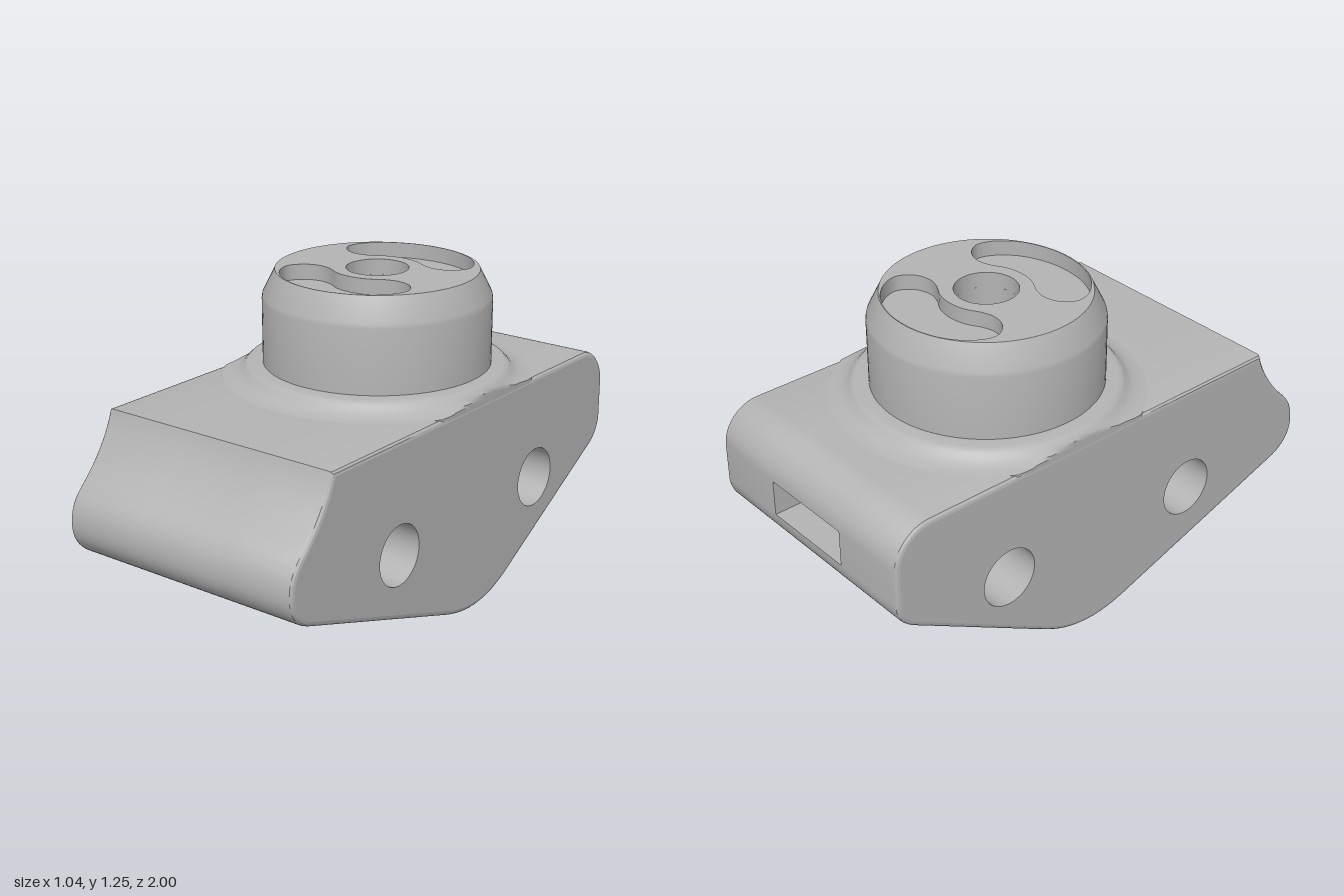
import * as THREE from 'three';
import { toCreasedNormals } from 'three/addons/utils/BufferGeometryUtils.js';

const CREASE = 0.42;
const BORES = [[-0.394, 0.397], [0.5, 0.414]]; // [-z, y] of the cross bores
const BORE_R = 0.118;
const SLOT = { half: 0.2, end: 0.58, low: 0.535, high: 0.68 };

// Side profile drawn as (-z, y), counter-clockwise, optionally notched by the rear slot
function profile(notched) {
  const s = new THREE.Shape();
  s.moveTo(-0.775, 0.835);
  s.bezierCurveTo(-0.80, 0.75, -0.86, 0.66, -0.945, 0.58);
  s.bezierCurveTo(-0.985, 0.54, -1, 0.50, -1, 0.45);
  s.bezierCurveTo(-1, 0.38, -0.955, 0.33, -0.885, 0.308);
  s.lineTo(-0.115, 0.046);
  s.bezierCurveTo(0.05, -0.015, 0.18, -0.015, 0.34, 0.08);
  s.lineTo(0.92, 0.413);
  s.bezierCurveTo(0.97, 0.44, 1, 0.485, 1, SLOT.low);
  if (notched) {
    s.lineTo(SLOT.end, SLOT.low);
    s.lineTo(SLOT.end, SLOT.high);
  }
  s.lineTo(1, SLOT.high);
  s.bezierCurveTo(1, 0.765, 0.93, 0.835, 0.845, 0.835);
  const pts = s.getPoints(12);
  return pts.filter((p, i) => i === 0 || p.distanceTo(pts[i - 1]) > 1e-4);
}

// Shrink a counter-clockwise outline by distance d
function inset(pts, d) {
  const n = pts.length;
  return pts.map((p, i) => {
    const a = p.clone().sub(pts[(i + n - 1) % n]).normalize();
    const b = pts[(i + 1) % n].clone().sub(p).normalize();
    const na = new THREE.Vector2(-a.y, a.x), nb = new THREE.Vector2(-b.y, b.x);
    const m = na.clone().add(nb).normalize();
    return p.clone().addScaledVector(m, d / Math.max(0.5, m.dot(na)));
  });
}

// Skin between matching closed outlines placed at increasing x
function loft(rings) {
  const n = rings[0].pts.length, pos = [], idx = [];
  rings.forEach(({ pts, x }) => pts.forEach(p => pos.push(p.x, p.y, x)));
  for (let r = 0; r < rings.length - 1; r++) {
    for (let i = 0; i < n; i++) {
      const j = (i + 1) % n, a = r * n + i, b = r * n + j;
      idx.push(a, b, b + n, a, b + n, a + n);
    }
  }
  const g = new THREE.BufferGeometry();
  g.setAttribute('position', new THREE.Float32BufferAttribute(pos, 3));
  g.setIndex(idx);
  return toCreasedNormals(g.rotateY(Math.PI / 2), CREASE);
}

function circlePath(x, y, r) {
  return new THREE.Path().absarc(x, y, r, 0, Math.PI * 2, true);
}

// Crescent recess with a wavy inner edge; dir picks the rear (+1) or front (-1) one
function recessPoints(dir) {
  const half = [[0, 0.386], [0.1, 0.373], [0.2, 0.328], [0.268, 0.255], [0.285, 0.19],
    [0.245, 0.133], [0.185, 0.114], [0.13, 0.126], [0.07, 0.158], [0, 0.17]];
  const other = half.slice(1, -1).reverse().map(([x, y]) => [-x, y]);
  const pts = [...half, ...other].map(([x, y]) => new THREE.Vector3(x, y * dir, 0));
  return new THREE.CatmullRomCurve3(pts, true).getPoints(90).slice(0, -1)
    .map(p => new THREE.Vector2(p.x, p.y));
}

export function createModel() {
  const model = new THREE.Group();
  model.name = 'mountBlock';
  const grey = new THREE.MeshStandardMaterial({ color: 0xb4b4b4, side: THREE.DoubleSide });
  grey.name = 'plainGrey';
  const add = (parent, name, geometry) => {
    const m = new THREE.Mesh(geometry, grey);
    m.name = name;
    parent.add(m);
    return m;
  };

  // Middle of the block, notched by the rear slot
  const notched = profile(true);
  add(model, 'blockMiddle', loft([{ pts: notched, x: -SLOT.half }, { pts: notched, x: SLOT.half }]));

  // Mirrored side sections with rounded outer edges, pierced by the bores
  const outline = profile(false), face = inset(outline, 0.02);
  for (const side of [1, -1]) {
    const g = new THREE.Group();
    g.name = side > 0 ? 'leftSide' : 'rightSide';
    g.scale.x = side;
    model.add(g);
    add(g, 'sideSkin', loft([
      { pts: outline, x: SLOT.half }, { pts: outline, x: 0.5 },
      { pts: inset(outline, 0.0027), x: 0.51 }, { pts: inset(outline, 0.01), x: 0.5173 },
      { pts: face, x: 0.52 },
    ]));
    const cap = new THREE.Shape(face);
    BORES.forEach(([x, y]) => cap.holes.push(circlePath(x, y, BORE_R)));
    add(g, 'sideFace', new THREE.ShapeGeometry(cap, 24).rotateY(Math.PI / 2).translate(0.52, 0, 0));
    const wall = add(g, 'slotWall',
      new THREE.PlaneGeometry(1 - SLOT.end, SLOT.high - SLOT.low).rotateY(-Math.PI / 2));
    wall.position.set(SLOT.half, (SLOT.low + SLOT.high) / 2, -(1 + SLOT.end) / 2);
  }

  // Cross bores
  for (const [s, y] of BORES) {
    const bore = add(model, 'crossBore',
      new THREE.CylinderGeometry(BORE_R, BORE_R, 1.04, 48, 1, true).rotateZ(Math.PI / 2));
    bore.position.set(0, y, -s);
  }

  // Round boss, set towards the back
  const boss = new THREE.Group();
  boss.name = 'boss';
  boss.position.z = -0.16;
  model.add(boss);
  const lathe = pts => new THREE.LatheGeometry(pts.map(p => new THREE.Vector2(...p)), 96);

  // Flared collar, trimmed flush with the block sides
  const collar = lathe([[0.6, 0.8], [0.595, 0.835], [0.565, 0.839], [0.54, 0.848], [0.522, 0.861],
    [0.51, 0.875], [0.5, 0.884], [0.485, 0.887], [0.43, 0.887]]);
  const p = collar.attributes.position;
  for (let i = 0; i < p.count; i++) p.setX(i, THREE.MathUtils.clamp(p.getX(i), -0.519, 0.519));
  add(boss, 'collar', toCreasedNormals(collar, 0.6));
  add(boss, 'bossWall', toCreasedNormals(
    lathe([[0.44, 0.88], [0.44, 1.14], [0.437, 1.156], [0.39, 1.25]]), CREASE));

  // Top plate with two recesses and a centre hole
  const top = new THREE.Shape().absarc(0, 0, 0.39, 0, Math.PI * 2, false);
  top.holes.push(circlePath(0, 0, 0.12));
  for (const dir of [1, -1]) top.holes.push(new THREE.Path(recessPoints(dir)));
  const plate = new THREE.ExtrudeGeometry(top, { depth: 0.06, bevelEnabled: false, curveSegments: 48 });
  add(boss, 'topPlate', toCreasedNormals(plate.rotateX(-Math.PI / 2).translate(0, 1.19, 0), CREASE));
  add(boss, 'recessFloor', new THREE.RingGeometry(0.12, 0.4, 64).rotateX(-Math.PI / 2).translate(0, 1.19, 0));
  add(boss, 'centreHoleWall', new THREE.CylinderGeometry(0.12, 0.12, 0.34, 48, 1, true).translate(0, 1.02, 0));
  add(boss, 'centreHoleFloor', new THREE.CircleGeometry(0.12, 48).rotateX(-Math.PI / 2).translate(0, 0.85, 0));

  return model;
}
